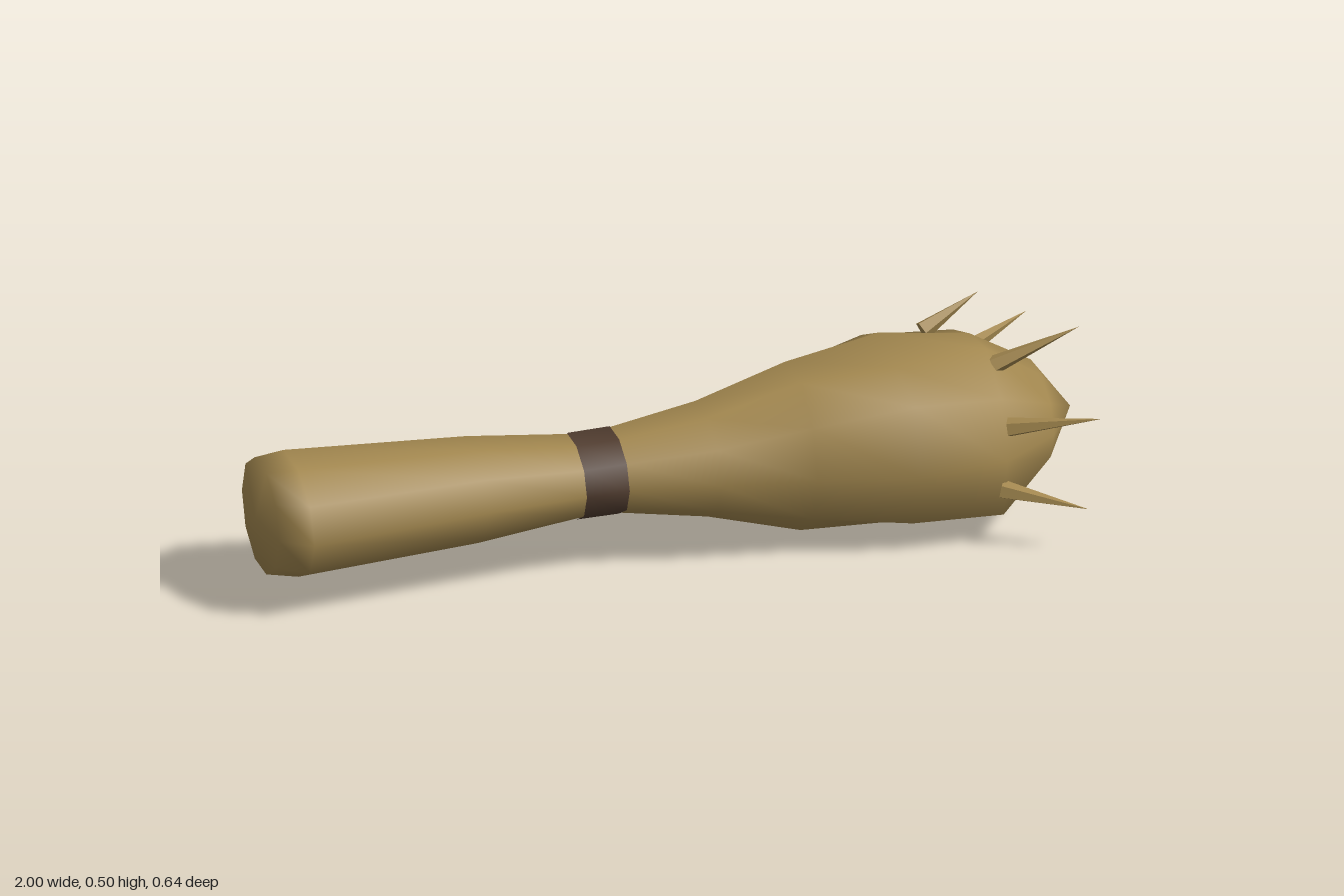
import * as THREE from 'three';

const SIDES = 10;

// Joins ten-sided rings along x; pole points close the ends when given
function loft(rings, poles) {
  const pos = rings.flat(2), idx = [];
  for (let i = 0; i < rings.length - 1; i++) {
    for (let k = 0; k < SIDES; k++) {
      const a = i * SIDES + k, b = i * SIDES + (k + 1) % SIDES;
      idx.push(a, a + SIDES, b, b, a + SIDES, b + SIDES);
    }
  }
  if (poles) {
    const start = rings.length * SIDES, last = start - SIDES;
    pos.push(...poles[0], ...poles[1]);
    for (let k = 0; k < SIDES; k++) {
      const n = (k + 1) % SIDES;
      idx.push(start, k, n, start + 1, last + n, last + k);
    }
  }
  const geo = new THREE.BufferGeometry();
  geo.setAttribute('position', new THREE.Float32BufferAttribute(pos, 3));
  geo.setIndex(idx);
  geo.computeVertexNormals();
  return geo;
}

// Ring at x; bumps are optional radii for an uneven section
function ring(x, cy, cz, ry, rz, bumps) {
  return Array.from({ length: SIDES }, (_, k) => {
    const t = (k / SIDES) * Math.PI * 2, r = bumps ? bumps[k] : 1;
    return [x, cy + Math.sin(t) * ry * r, cz + Math.cos(t) * rz * r];
  });
}

export function createModel() {
  const group = new THREE.Group();
  const wood = new THREE.MeshStandardMaterial({ color: 0xa2874f });
  const leather = new THREE.MeshStandardMaterial({ color: 0x503c2f });
  const add = (name, geo, mat) => {
    const mesh = new THREE.Mesh(geo, mat);
    mesh.name = name;
    group.add(mesh);
    return mesh;
  };

  // Club: thick grip, narrow waist, lumpy head
  const sections = [
    [-0.985, 0.222, -0.008, 0.138, 0.148],
    [-0.91, 0.217, -0.01, 0.145, 0.19],
    [-0.47, 0.22, -0.003, 0.126, 0.137],
    [-0.22, 0.222, 0, 0.097, 0.12],
    [-0.12, 0.224, 0, 0.099, 0.12],
    [0.09, 0.228, 0.01, 0.134, 0.16],
    [0.32, 0.22, -0.01, 0.2, 0.2],
    [0.55, 0.23, 0, 1, 1, [0.272, 0.28, 0.205, 0.235, 0.262, 0.24, 0.238, 0.24, 0.213, 0.25]],
    [0.77, 0.23, 0, 1, 1, [0.24, 0.235, 0.226, 0.205, 0.245, 0.285, 0.215, 0.2, 0.225, 0.258]],
    [0.92, 0.224, -0.02, 0.118, 0.142],
  ];
  add('clubBody', loft(sections.map(s => ring(...s)), [[-1, 0.222, 0], [0.997, 0.235, 0]]), wood);

  // Wrap around the waist
  add('waistBand', loft([
    ring(-0.225, 0.222, 0, 0.1, 0.123),
    ring(-0.12, 0.224, 0, 0.101, 0.123),
  ]), leather);

  // Spikes: base and tip of each
  const spikes = [
    [[0.78, 0.41, 0.09], [0.98, 0.5, 0.128]],
    [[0.665, 0.43, -0.1], [0.81, 0.5, -0.126]],
    [[0.78, 0.305, 0.215], [0.98, 0.343, 0.31]],
    [[0.79, 0.305, -0.21], [0.985, 0.343, -0.308]],
    [[0.76, 0.152, 0.225], [0.945, 0.117, 0.318]],
    [[0.76, 0.155, -0.21], [0.935, 0.117, -0.318]],
  ];
  const up = new THREE.Vector3(0, 1, 0);
  for (const [b, t] of spikes) {
    const base = new THREE.Vector3(...b), tip = new THREE.Vector3(...t);
    const axis = tip.clone().sub(base);
    const geo = new THREE.ConeGeometry(0.024, axis.length(), 5).toNonIndexed();
    geo.computeVertexNormals();
    const spike = add('spike', geo, wood);
    spike.position.copy(base).lerp(tip, 0.5);
    spike.quaternion.setFromUnitVectors(up, axis.normalize());
  }
  return group;
}
